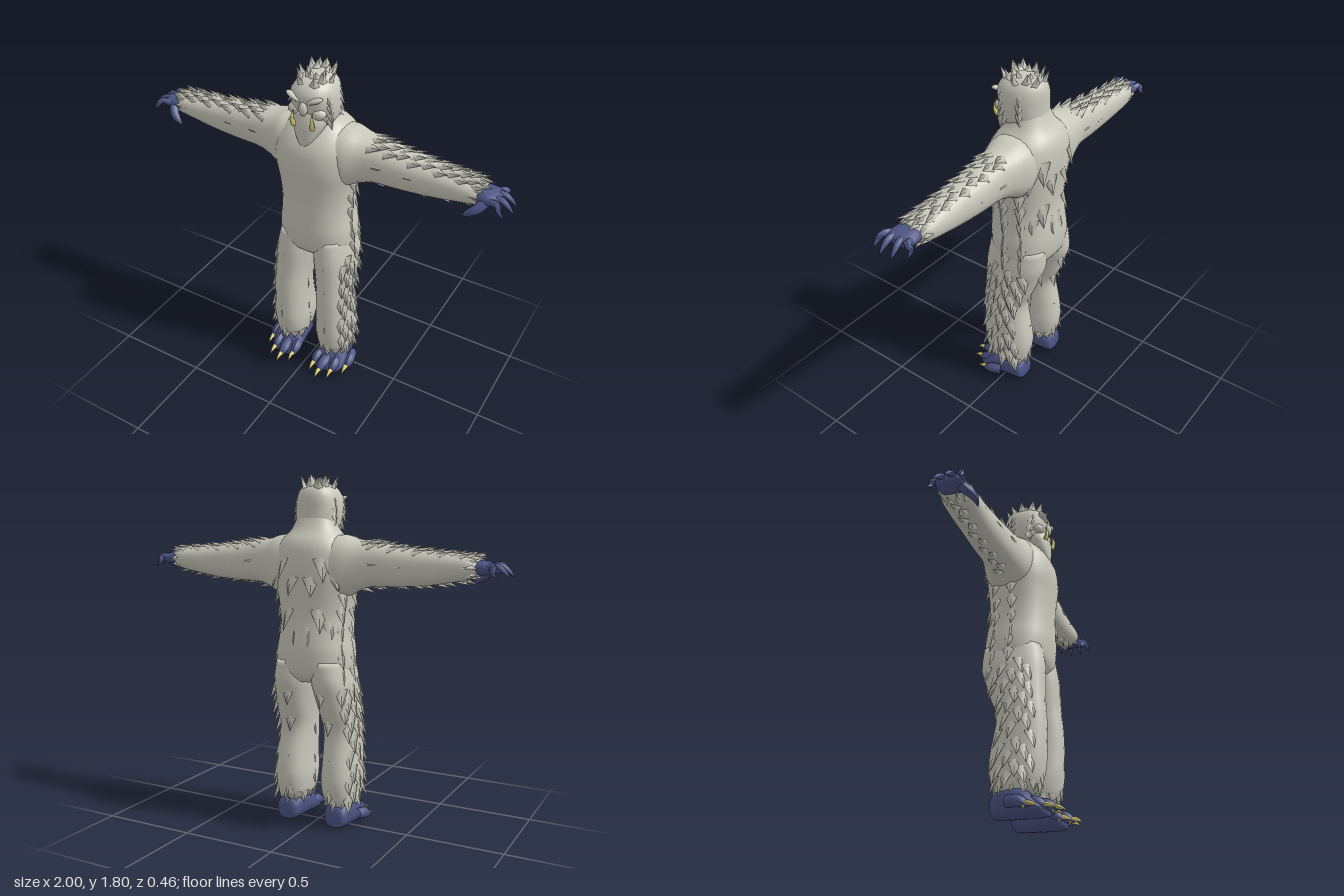
import * as THREE from 'three';
import { mergeGeometries } from 'three/addons/utils/BufferGeometryUtils.js';

const V = (x, y, z) => new THREE.Vector3(x, y, z);
const furMat = new THREE.MeshStandardMaterial({ color: 0xc8c8bc });
const skinMat = new THREE.MeshStandardMaterial({ color: 0x4c5484 });
const clawMat = new THREE.MeshStandardMaterial({ color: 0xd3c96f });

// How a section row [t, uMin, uMax, vMin, vMax] maps to space for each loft axis
const AXES = {
  y: (t, u, v) => V(u, t, v),
  x: (t, u, v) => V(t, v, u),
  z: (t, u, v) => V(v, u, t),
};

// Smoothly interpolated section row, s from 0 to 1
function rowAt(rows, s) {
  const f = Math.min(s, 0.9999) * (rows.length - 1);
  const i = Math.floor(f), k = f - i;
  const at = (n) => rows[Math.max(0, Math.min(rows.length - 1, n))];
  return rows[0].map((_, c) => {
    const [a, b, d, e] = [at(i - 1)[c], at(i)[c], at(i + 1)[c], at(i + 2)[c]];
    return b + 0.5 * k * (d - a + k * (2 * a - 5 * b + 4 * d - e + k * (3 * (b - d) + e - a)));
  });
}

// Point on a loft surface and the centre of its ring
function surfaceAt(rows, axis, s, angle) {
  const [t, u0, u1, v0, v1] = rowAt(rows, s);
  const round = (c) => Math.sign(c) * Math.abs(c) ** 0.85;
  const u = (u0 + u1) / 2, v = (v0 + v1) / 2;
  return {
    centre: AXES[axis](t, u, v),
    point: AXES[axis](t, u + round(Math.cos(angle)) * (u1 - u0) / 2, v + round(Math.sin(angle)) * (v1 - v0) / 2),
  };
}

// Closed smooth body through the section rows
function loft(rows, axis, sides = 24, per = 3) {
  const n = (rows.length - 1) * per, pos = [], index = [];
  for (let i = 0; i <= n; i++)
    for (let j = 0; j < sides; j++)
      pos.push(...surfaceAt(rows, axis, i / n, j / sides * Math.PI * 2).point);
  for (let i = 0; i < n; i++)
    for (let j = 0; j < sides; j++) {
      const a = i * sides + j, c = i * sides + (j + 1) % sides;
      index.push(a, a + sides, c, a + sides, c + sides, c);
    }
  const first = pos.length / 3;
  pos.push(...surfaceAt(rows, axis, 0, 0).centre, ...surfaceAt(rows, axis, 1, 0).centre);
  for (let j = 0; j < sides; j++) {
    const k = (j + 1) % sides;
    index.push(first, j, k, first + 1, n * sides + k, n * sides + j);
  }
  const g = new THREE.BufferGeometry();
  g.setAttribute('position', new THREE.Float32BufferAttribute(pos, 3));
  g.setIndex(index);
  g.computeVertexNormals();
  return g;
}

// Curved tube narrowing to a tip; power > 1 keeps it full until near the end
function taper(points, radius, power = 1, sides = 8) {
  const steps = 8, curve = new THREE.CatmullRomCurve3(points.map((p) => V(...p)));
  const g = new THREE.TubeGeometry(curve, steps, radius, sides, false);
  const p = g.attributes.position, v = V();
  for (let i = 0; i < p.count; i++) {
    const t = Math.floor(i / (sides + 1)) / steps, c = curve.getPointAt(t);
    v.fromBufferAttribute(p, i).sub(c).multiplyScalar(1 - t ** power).add(c);
    p.setXYZ(i, v.x, v.y, v.z);
  }
  g.computeVertexNormals();
  return g;
}

// Flat pointed lock of fur
function lock(point, dir, out, length, width) {
  const y = dir.clone().normalize(), x = y.clone().cross(out).normalize(), z = x.clone().cross(y);
  const g = new THREE.ConeGeometry(1, 1, 4).translate(0, 0.5, 0);
  const m = new THREE.Matrix4().makeBasis(x.multiplyScalar(width), y.multiplyScalar(length), z.multiplyScalar(0.014));
  return g.applyMatrix4(m.setPosition(point));
}

// Lock rooted in a loft; along is the lie of the fur, flare lifts its tip
function lockOn(rows, axis, s, degrees, along, length, width, flare = 0.4) {
  const { point, centre } = surfaceAt(rows, axis, s, degrees * Math.PI / 180);
  const out = point.clone().sub(centre).normalize();
  return lock(point.addScaledVector(out, -0.012), along.clone().addScaledVector(out, flare), out, length, width);
}

function mirror(g) {
  const m = g.clone().scale(-1, 1, 1), a = m.index.array;
  for (let i = 0; i < a.length; i += 3) [a[i], a[i + 1]] = [a[i + 1], a[i]];
  return m;
}

const TORSO = [
  [0.77, -0.13, 0.13, -0.15, 0.09], [0.82, -0.195, 0.195, -0.195, 0.13], [0.92, -0.2, 0.2, -0.205, 0.145],
  [1.0, -0.188, 0.188, -0.198, 0.145], [1.1, -0.185, 0.185, -0.185, 0.145], [1.2, -0.198, 0.198, -0.19, 0.15],
  [1.3, -0.215, 0.215, -0.2, 0.16], [1.4, -0.21, 0.21, -0.2, 0.148], [1.47, -0.175, 0.175, -0.185, 0.11],
  [1.53, -0.12, 0.12, -0.14, 0.06], [1.6, -0.09, 0.09, -0.11, 0.04],
];
const ARM = [
  [0.06, -0.17, 0.1, 1.22, 1.5], [0.17, -0.17, 0.1, 1.2, 1.505], [0.24, -0.152, 0.075, 1.23, 1.485],
  [0.32, -0.135, 0.058, 1.255, 1.475], [0.45, -0.13, 0.05, 1.26, 1.455], [0.6, -0.125, 0.042, 1.272, 1.44],
  [0.72, -0.125, 0.04, 1.292, 1.43], [0.81, -0.12, 0.035, 1.31, 1.42], [0.85, -0.09, 0.01, 1.33, 1.4],
];
const LEG = [
  [0.12, 0.065, 0.205, -0.1, 0.085], [0.16, 0.045, 0.223, -0.12, 0.125], [0.25, 0.035, 0.23, -0.135, 0.145],
  [0.35, 0.04, 0.225, -0.125, 0.15], [0.5, 0.04, 0.218, -0.1, 0.148], [0.6, 0.03, 0.217, -0.135, 0.14],
  [0.7, 0.015, 0.213, -0.17, 0.138], [0.78, 0.005, 0.208, -0.195, 0.135], [0.88, 0, 0.19, -0.19, 0.12],
];
const HEAD = [
  [1.44, -0.08, 0.08, -0.13, 0.02], [1.5, -0.092, 0.092, -0.12, 0.06], [1.56, -0.108, 0.108, -0.118, 0.105],
  [1.62, -0.114, 0.114, -0.115, 0.122], [1.68, -0.108, 0.108, -0.115, 0.13], [1.72, -0.09, 0.09, -0.105, 0.11],
  [1.745, -0.06, 0.06, -0.08, 0.075], [1.755, -0.025, 0.025, -0.04, 0.035],
];
const BEARD = [
  [1.4, -0.003, 0.003, 0.122, 0.13], [1.46, -0.046, 0.046, 0.06, 0.137], [1.52, -0.078, 0.078, -0.01, 0.138],
  [1.56, -0.085, 0.085, -0.03, 0.132], [1.6, -0.07, 0.07, 0, 0.12],
];
const PALM = [
  [0.79, -0.085, 0.02, 1.335, 1.4], [0.85, -0.1, 0.032, 1.33, 1.4], [0.9, -0.102, 0.038, 1.335, 1.392], [0.93, -0.085, 0.02, 1.345, 1.38],
];
const FOOT = [
  [-0.115, 0.02, 0.07, 0.1, 0.18], [-0.1, 0.005, 0.12, 0.08, 0.2], [-0.03, 0, 0.155, 0.065, 0.215],
  [0.05, 0, 0.135, 0.055, 0.23], [0.1, 0, 0.09, 0.05, 0.23], [0.15, 0.008, 0.05, 0.065, 0.205],
];

export function createModel() {
  const root = new THREE.Group();
  const add = (name, geo, mat) => {
    const mesh = new THREE.Mesh(geo, mat);
    mesh.name = name;
    root.add(mesh);
  };
  const pair = (name, geo, mat) => {
    add('left' + name, geo, mat);
    add('right' + name, mirror(geo), mat);
  };
  const DOWN = V(0, -1, 0), UP = V(0, 1, 0), OUT = V(1, 0, 0);

  // Main furry masses
  add('torso', loft(TORSO, 'y', 32), furMat);
  add('head', loft(HEAD, 'y'), furMat);
  add('beard', loft(BEARD, 'y'), furMat);
  pair('Arm', loft(ARM, 'x'), furMat);
  pair('Leg', loft(LEG, 'y'), furMat);

  // Face: slanted brows, nose and curved tusks
  const lump = (w, h, d) => new THREE.SphereGeometry(1, 14, 10).scale(w, h, d);
  add('nose', lump(0.022, 0.035, 0.02).translate(0, 1.625, 0.125), furMat);
  pair('Brow', lump(0.048, 0.014, 0.022).rotateZ(0.4).translate(0.052, 1.672, 0.115), furMat);
  pair('Cheek', lump(0.04, 0.03, 0.03).translate(0.06, 1.6, 0.09), furMat);
  pair('Tusk', taper([[0.05, 1.532, 0.125], [0.054, 1.56, 0.137], [0.052, 1.59, 0.136], [0.05, 1.617, 0.126]], 0.013, 1.6), clawMat);

  // Hands: palm, four drooping fingers and a thumb
  const hand = [loft(PALM, 'x', 16)];
  for (const [z0, z1, x] of [[-0.08, -0.115, 0.95], [-0.05, -0.063, 0.995], [-0.01, -0.004, 1], [0.022, 0.055, 0.975]])
    hand.push(taper([[0.88, 1.365, z0], [0.93, 1.375, (z0 + z1) / 2], [x - 0.03, 1.352, z1 * 0.9 + z0 * 0.1], [x, 1.322, z1]], 0.017, 3));
  hand.push(taper([[0.87, 1.355, 0.01], [0.845, 1.325, 0.045], [0.815, 1.305, 0.06], [0.785, 1.278, 0.062]], 0.026, 3));
  pair('Hand', mergeGeometries(hand.map((g) => { g.deleteAttribute('uv'); return g; })), skinMat);

  // Feet: four knuckled toes with claws
  const foot = [loft(FOOT, 'z', 18)], claws = [];
  for (const [x, z] of [[0.07, 0.205], [0.125, 0.24], [0.185, 0.21], [0.242, 0.14]]) {
    foot.push(taper([[x * 0.8 + 0.03, 0.065, z - 0.15], [x, 0.058, z - 0.09], [x, 0.036, z - 0.05], [x, 0.028, z - 0.035]], 0.03, 4));
    claws.push(taper([[x, 0.035, z - 0.07], [x, 0.045, z - 0.045], [x, 0.037, z - 0.02], [x, 0.022, z + 0.004]], 0.016, 1.5));
  }
  pair('Foot', mergeGeometries(foot.map((g) => { g.deleteAttribute('uv'); return g; })), skinMat);
  pair('Claws', mergeGeometries(claws), clawMat);

  // Leg locks: rows down the outside, a few front and back, and a ragged ankle cuff
  const legFur = [];
  for (let i = 0; i < 11; i++) {
    const s = 0.19 + i * 0.066;
    for (const a of [-32, 0, 30])
      legFur.push(lockOn(LEG, 'y', s + a * 0.0008, a + (i % 2 ? 7 : -7), DOWN, 0.1, 0.036, 0.42));
    if (i % 3 === 0) legFur.push(lockOn(LEG, 'y', s, 88, DOWN, 0.08, 0.03, 0.14), lockOn(LEG, 'y', s, 262, DOWN, 0.08, 0.03, 0.16));
    if (i < 6 && i % 2) legFur.push(lockOn(LEG, 'y', s, 178, DOWN, 0.07, 0.03, 0.22));
  }
  for (let a = 0; a < 360; a += 30)
    legFur.push(lockOn(LEG, 'y', 0.13, a, DOWN, 0.055 + (a % 60) / 2000, 0.03, 0.05));
  pair('LegFur', mergeGeometries(legFur), furMat);

  // Arm locks: ridges above and below, and a ragged wrist cuff
  const armFur = [];
  for (let i = 0; i < 11; i++) {
    const s = 0.3 + i * 0.052;
    for (const a of [-88, 60, 90, 120])
      armFur.push(lockOn(ARM, 'x', s + (a % 7) * 0.004, a + (i % 2 ? 6 : -6), OUT, 0.085, 0.032, 0.3));
    if (i % 3 === 1) armFur.push(lockOn(ARM, 'x', s, 5, OUT, 0.07, 0.025, 0.12), lockOn(ARM, 'x', s, 180, OUT, 0.07, 0.025, 0.12));
  }
  for (let a = 0; a < 360; a += 36)
    armFur.push(lockOn(ARM, 'x', 0.86, a, OUT, a > 40 && a < 140 ? 0.085 : 0.055, 0.025, 0.04));
  pair('ArmFur', mergeGeometries(armFur), furMat);

  // Torso locks along the flanks and across the back
  const torsoFur = [];
  for (let i = 0; i < 6; i++)
    for (const a of [-25, 2])
      torsoFur.push(lockOn(TORSO, 'y', 0.14 + i * 0.078, a, DOWN, 0.1, 0.036, 0.33));
  for (const [s, a, l] of [[0.69, -62, 0.12], [0.63, -40, 0.1], [0.6, -78, 0.1], [0.44, -65, 0.12], [0.38, -45, 0.09], [0.36, -82, 0.1]])
    torsoFur.push(lockOn(TORSO, 'y', s, a, DOWN, l, 0.045, 0.32));
  pair('TorsoFur', mergeGeometries(torsoFur), furMat);

  // Head locks: upright crown, swept temples and jagged cheeks
  const headFur = [lockOn(HEAD, 'y', 0.9, 90, UP, 0.045, 0.025, 0.1), lockOn(HEAD, 'y', 0.8, 270, UP, 0.06, 0.035, 0.2)];
  pair('HeadFur', mergeGeometries([
    ...[-65, -35, 0, 35, 65].map((a, i) => lockOn(HEAD, 'y', 0.74 + (i % 2) * 0.05, a, UP, 0.065, 0.026, 0.4)),
    ...[-50, 10, 60].map((a) => lockOn(HEAD, 'y', 0.9, a, UP, 0.04, 0.022, 0.4)),
    ...[0.3, 0.4, 0.5, 0.6].flatMap((s) => [-20, 25].map((a) => lockOn(HEAD, 'y', s, a, DOWN, 0.06, 0.026, 0.6))),
  ]), furMat);
  add('crownFur', mergeGeometries(headFur), furMat);
  return root;
}
